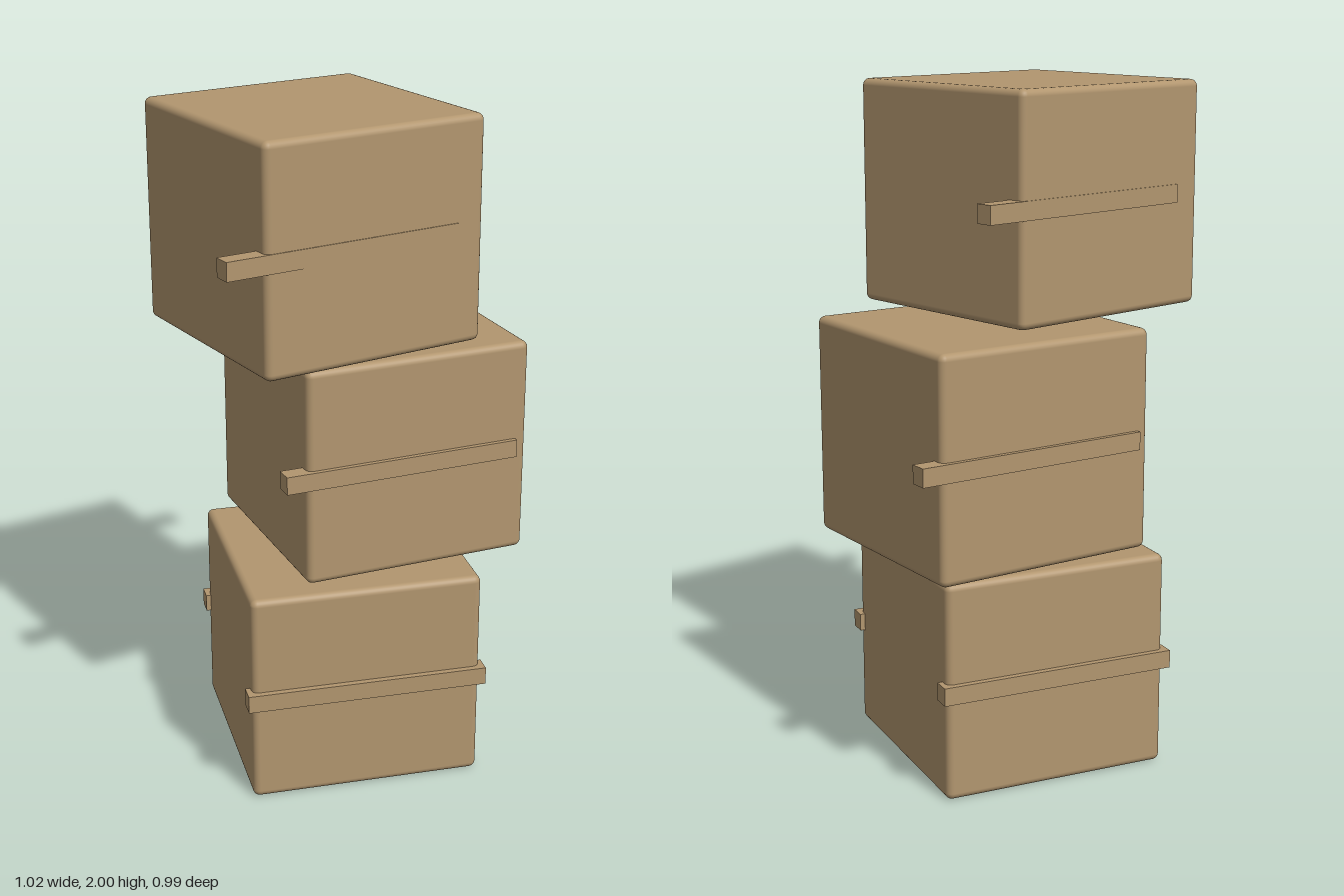
import * as THREE from 'three';
import { RoundedBoxGeometry } from 'three/addons/geometries/RoundedBoxGeometry.js';

const SIZE = 0.69, HEIGHT = 0.646, STEP = 0.676;

// Each crate: centre on the ground plane and its twist about y
const CRATES = [
  { name: 'bottomCrate', x: 0.005, z: -0.02, turn: 0 },
  { name: 'middleCrate', x: 0.117, z: -0.076, turn: 0.156 },
  { name: 'topCrate', x: -0.085, z: 0.025, turn: 0.306 },
];

export function createModel() {
  const model = new THREE.Group();
  model.name = 'crateStack';

  const wood = new THREE.MeshStandardMaterial({ color: 0xb2966f });
  wood.name = 'tan wood';

  const boxGeometry = new RoundedBoxGeometry(SIZE, HEIGHT, SIZE, 3, 0.02);
  const slatGeometry = new THREE.BoxGeometry(0.72, 0.053, 0.053);

  CRATES.forEach(({ name, x, z, turn }, i) => {
    const crate = new THREE.Group();
    crate.name = name;
    crate.position.set(x, HEIGHT / 2 + 0.002 + i * STEP, z);

    // Softly rounded box body
    const body = new THREE.Mesh(boxGeometry, wood);
    body.name = 'crateBody';
    body.rotation.y = turn;
    crate.add(body);

    // Front and back slats, each twisted about its own centre
    for (const side of [1, -1]) {
      const slat = new THREE.Mesh(slatGeometry, wood);
      slat.name = side > 0 ? 'frontSlat' : 'backSlat';
      slat.position.set(0, 0.003, side * 0.337);
      slat.rotation.y = turn;
      crate.add(slat);
    }
    model.add(crate);
  });

  return model;
}
